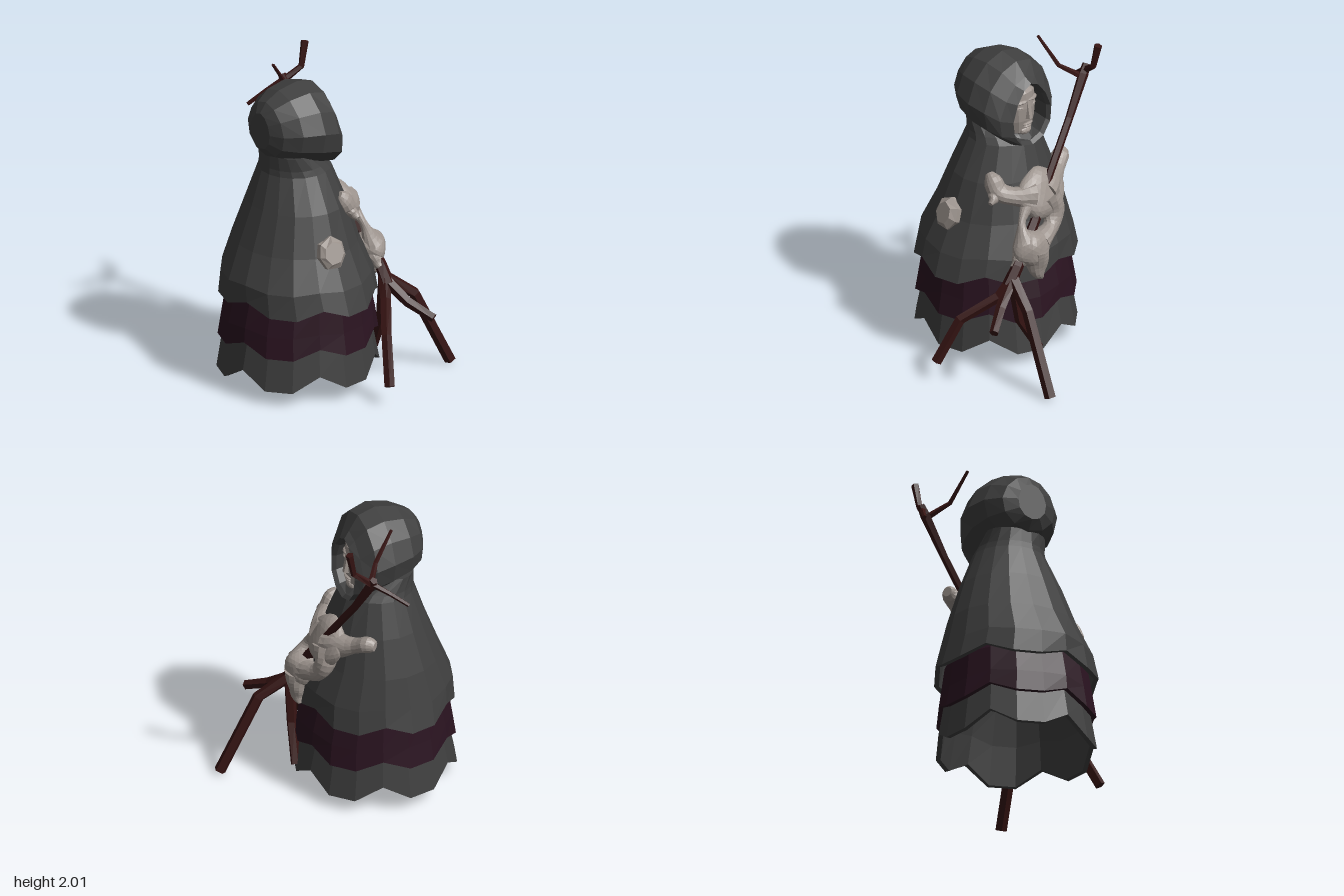
import * as THREE from 'three';

const mat = (color) => new THREE.MeshStandardMaterial({ color, flatShading: true, side: THREE.DoubleSide });
const V = (x, y, z) => new THREE.Vector3(x, y, z);

// Skin a list of equal-length rings, optionally closing the ends with fans
function loft(rings, capStart = true) {
  const n = rings[0].length, pos = [], index = [];
  rings.forEach((r) => r.forEach((p) => pos.push(p.x, p.y, p.z)));
  for (let i = 0; i < rings.length - 1; i++) {
    for (let j = 0; j < n; j++) {
      const a = i * n + j, b = i * n + (j + 1) % n;
      index.push(a, b, b + n, a, b + n, a + n);
    }
  }
  const cap = (i, flip) => {
    const c = V(0, 0, 0);
    rings[i].forEach((p) => c.addScaledVector(p, 1 / n));
    const k = pos.length / 3;
    pos.push(c.x, c.y, c.z);
    for (let j = 0; j < n; j++) {
      const a = i * n + j, b = i * n + (j + 1) % n;
      index.push(k, flip ? b : a, flip ? a : b);
    }
  };
  if (capStart) cap(0, true);
  cap(rings.length - 1, false);
  const g = new THREE.BufferGeometry();
  g.setAttribute('position', new THREE.Float32BufferAttribute(pos, 3));
  g.setIndex(index);
  const flat = g.toNonIndexed();
  flat.computeVertexNormals();
  return flat;
}

// Tapered limb along points [x, y, z, radius]
function limb(pts, sides = 5, rough = 0) {
  const p = pts.map((q) => V(q[0], q[1], q[2]));
  const rings = p.map((c, i) => {
    const t = p[Math.min(i + 1, p.length - 1)].clone().sub(p[Math.max(i - 1, 0)]).normalize();
    const u = V(0.31, 0.1, 0.94).cross(t).normalize(), v = t.clone().cross(u);
    return Array.from({ length: sides }, (_, j) => {
      const a = j / sides * Math.PI * 2, r = pts[i][3] * (1 + rough * Math.sin(2 * a + i * 0.7));
      return c.clone().addScaledVector(u, r * Math.cos(a)).addScaledVector(v, r * Math.sin(a));
    });
  });
  return loft(rings);
}

// Resample limb points along a smooth curve
function smooth(pts) {
  const path = new THREE.CatmullRomCurve3(pts.map((q) => V(q[0], q[1], q[2])));
  const radius = new THREE.CatmullRomCurve3(pts.map((q) => V(q[3], 0, 0)), false, 'catmullrom');
  return Array.from({ length: 11 }, (_, i) => [...path.getPoint(i / 10).toArray(), radius.getPoint(i / 10).x]);
}

// Lumpy ellipsoid
function lump(radii, detail, rough) {
  const g = new THREE.IcosahedronGeometry(1, detail), a = g.attributes.position, p = V(0, 0, 0);
  for (let i = 0; i < a.count; i++) {
    p.fromBufferAttribute(a, i);
    p.multiplyScalar(1 + rough * Math.sin(4 * p.x + 1) * Math.cos(5 * p.y) + rough * Math.sin(6 * p.z + 2 * p.y));
    a.setXYZ(i, p.x * radii[0], p.y * radii[1], p.z * radii[2]);
  }
  g.computeVertexNormals();
  return g;
}

// Robe layer: rows [y, rx, rz, cx, cz] from hem to top, with a scalloped, thick hem
function robeLayer(rows, lift) {
  const ring = (row, k, inset) => {
    const [y, rx, rz, cx = -0.2, cz = -0.05] = row;
    return Array.from({ length: 18 }, (_, j) => {
      const a = (j * 20 - 20) * Math.PI / 180, high = j % 3 === 0;
      const s = high ? 1 - 0.03 * k : 1;
      return V(cx + (rx * s - inset) * Math.sin(a), y + (high ? lift * k : 0), cz + (rz * s - inset) * Math.cos(a));
    });
  };
  const fade = (i) => (i === 0 ? 1 : i === 1 ? 0.3 : 0);
  const inner = rows.map((r, i) => ring(r, fade(i), 0.03)).reverse();
  const outer = rows.map((r, i) => ring(r, fade(i), 0));
  return loft([...inner, ...outer], false);
}

export function createModel() {
  const root = new THREE.Group();
  const cloth = mat(0x3f3f3f), maroon = mat(0x2a1320), wood = mat(0x361413), pale = mat(0x9d948e);
  const group = (name) => {
    const g = new THREE.Group();
    g.name = name;
    root.add(g);
    return g;
  };
  const add = (name, geo, m, pos = [0, 0, 0], rot = [0, 0, 0], parent = root) => {
    const mesh = new THREE.Mesh(geo, m);
    mesh.name = name;
    mesh.position.set(...pos);
    mesh.rotation.set(...rot);
    parent.add(mesh);
  };

  // Three robe layers
  add('lowerRobe', robeLayer([[0.09, 0.515, 0.51], [0.34, 0.465, 0.47], [0.55, 0.41, 0.42]], 0.1), cloth);
  add('middleRobe', robeLayer([[0.31, 0.505, 0.51], [0.45, 0.485, 0.485], [0.64, 0.44, 0.46], [0.72, 0.4, 0.42]], 0.065), maroon);
  add('cloak', robeLayer([
    [0.585, 0.487, 0.54], [0.74, 0.475, 0.495, -0.205, -0.055], [0.95, 0.39, 0.42, -0.2, -0.08],
    [1.2, 0.305, 0.335, -0.19, -0.085], [1.42, 0.23, 0.235, -0.19, -0.1], [1.46, 0.205, 0.22, -0.21, -0.1],
    [1.55, 0.135, 0.2, -0.275, -0.1],
  ], 0.06), cloth);

  // Hood: rows [x, yBottom, yTop, zCentre, zHalf], back to rim and then into the opening
  const hoodRows = [
    [-0.465, 1.6, 1.84, -0.09, 0.1], [-0.42, 1.54, 1.905, -0.09, 0.19], [-0.32, 1.5, 1.96, -0.09, 0.265],
    [-0.18, 1.46, 1.99, -0.085, 0.302], [-0.06, 1.43, 1.96, -0.09, 0.285], [0.015, 1.41, 1.87, -0.1, 0.23],
    [0.055, 1.4, 1.83, -0.115, 0.165], [0.03, 1.42, 1.81, -0.115, 0.15], [-0.12, 1.45, 1.8, -0.115, 0.15],
  ];
  const hoodRings = hoodRows.map(([x, b, t, cz, h], i) => Array.from({ length: 12 }, (_, j) => {
    const a = j / 12 * Math.PI * 2, c = Math.cos(a), s = Math.sin(a);
    const taper = 1 - (i > 4 ? 0.3 : 0.13) * c * (c > 0 ? 1 : 0.6);
    return V(x - (i > 4 ? 0.008 * c : 0), (b + t) / 2 + (t - b) / 2 * c, cz + h * s * taper);
  }));
  add('hood', loft(hoodRings), cloth);

  // Face inside the hood, looking along +x
  const face = group('face');
  face.position.set(0, 0, -0.11);
  const facePart = (name, geo, pos, rot) => add(name, geo, pale, pos, rot, face);
  facePart('head', limb([[-0.09, 1.44, 0, 0.055], [-0.08, 1.475, 0, 0.09], [-0.09, 1.55, 0, 0.118], [-0.1, 1.64, 0, 0.132],
    [-0.105, 1.74, 0, 0.128], [-0.12, 1.82, 0, 0.08]], 14));
  facePart('nose', loft([
    [V(0, 1.575, -0.03), V(0, 1.575, 0.03), V(0.052, 1.583, 0.012), V(0.052, 1.583, -0.012)],
    [V(0, 1.7, -0.022), V(0, 1.7, 0.022), V(0.03, 1.7, 0.012), V(0.03, 1.7, -0.012)],
  ]));
  facePart('upperLip', lump([0.016, 0.009, 0.042], 1, 0), [0.022, 1.541, 0]);
  facePart('lowerLip', lump([0.016, 0.01, 0.034], 1, 0), [0.018, 1.522, 0]);
  facePart('chin', lump([0.035, 0.032, 0.05], 1, 0), [-0.008, 1.485, 0]);
  for (const s of [-1, 1]) {
    facePart('brow', lump([0.025, 0.014, 0.055], 1, 0), [0.002, 1.698, s * 0.055], [s * 0.1, -s * 0.4, 0]);
    facePart('eye', lump([0.014, 0.009, 0.026], 1, 0), [0.01, 1.662, s * 0.058], [0, -s * 0.4, 0]);
  }

  // Leaning branch staff with forked top and spreading roots
  const staff = group('staff');
  const branches = {
    shaft: [[0.25, 0.62, 0.29, 0.045], [0.25, 0.73, 0.21, 0.04], [0.21, 0.97, 0.01, 0.033], [0.165, 1.19, -0.15, 0.026],
      [0.11, 1.5, -0.39, 0.026], [0.075, 1.74, -0.55, 0.034], [0.068, 1.795, -0.585, 0.026]],
    thickTwig: [[0.075, 1.76, -0.57, 0.024], [0.18, 1.84, -0.53, 0.02], [0.215, 2, -0.54, 0.026]],
    tallTwig: [[0.075, 1.72, -0.54, 0.022], [-0.02, 1.81, -0.425, 0.015], [-0.155, 1.99, -0.375, 0.01]],
    sideTwig: [[0.075, 1.765, -0.57, 0.02], [-0.03, 1.69, -0.625, 0.015], [-0.13, 1.61, -0.675, 0.013]],
    longRoot: [[0.25, 0.66, 0.25, 0.042], [0.44, 0.52, 0.31, 0.038], [0.685, 0.015, 0.355, 0.038]],
    frontRoot: [[0.25, 0.66, 0.25, 0.042], [0.2, 0.54, 0.33, 0.036], [0.06, 0.4, 0.53, 0.034], [-0.015, 0.12, 0.665, 0.034]],
    shortRoot: [[0.25, 0.64, 0.27, 0.038], [0.31, 0.53, 0.42, 0.034], [0.4, 0.45, 0.57, 0.03]],
    backRoot: [[0.25, 0.66, 0.25, 0.04], [0.26, 0.35, 0.2, 0.034], [0.295, 0.12, 0.07, 0.032]],
  };
  for (const [name, pts] of Object.entries(branches)) add(name, limb(pts), wood, undefined, undefined, staff);

  // Gnarled pale growth gripping the staff
  const growth = group('growth');
  add('upperMass', lump([0.07, 0.165, 0.185], 4, 0.04), pale, [0.155, 1.1, -0.09], [0, 0, 0.42], growth);
  add('lowerMass', lump([0.103, 0.115, 0.13], 4, 0.04), pale, [0.245, 0.815, 0.09], [0.3, 0, 0.1], growth);
  const arms = {
    backArm: [[-0.01, 1.2, -0.44, 0.03], [0.02, 1.2, -0.4, 0.056], [0.07, 1.16, -0.32, 0.048], [0.12, 1.12, -0.22, 0.075], [0.15, 1.09, -0.12, 0.09]],
    frontArm: [[-0.045, 1.26, 0.165, 0.03], [-0.01, 1.225, 0.17, 0.055], [0.03, 1.16, 0.16, 0.06], [0.1, 1.12, 0.08, 0.065], [0.14, 1.1, -0.02, 0.1]],
    frontFinger: [[0.01, 1.18, 0.17, 0.045], [0.04, 1.13, 0.21, 0.035], [0.05, 1.11, 0.25, 0.015]],
    rightLink: [[0.16, 1.07, -0.13, 0.1], [0.195, 0.97, -0.15, 0.075], [0.23, 0.89, -0.11, 0.055], [0.25, 0.84, 0.02, 0.075]],
    leftLink: [[0.24, 0.86, 0.13, 0.08], [0.21, 0.93, 0.13, 0.04], [0.19, 0.99, 0.11, 0.025], [0.17, 1.06, 0.05, 0.04]],
    lowerTip: [[0.27, 0.8, 0.07, 0.09], [0.28, 0.71, 0.07, 0.068], [0.285, 0.64, 0.06, 0.045], [0.285, 0.59, 0.03, 0.012]],
    sideTip: [[0.24, 0.79, 0.14, 0.08], [0.235, 0.74, 0.2, 0.04], [0.235, 0.72, 0.235, 0.02]],
  };
  for (const [name, pts] of Object.entries(arms)) add(name, limb(smooth(pts), 14, 0.08), pale, undefined, undefined, growth);

  // Separate pale patch on the cloak's side
  add('sidePatch', limb([[-0.23, 0.96, 0.3, 0.1], [-0.23, 0.98, 0.355, 0.102], [-0.235, 0.99, 0.385, 0.07]], 7, 0.08), pale);
  return root;
}
